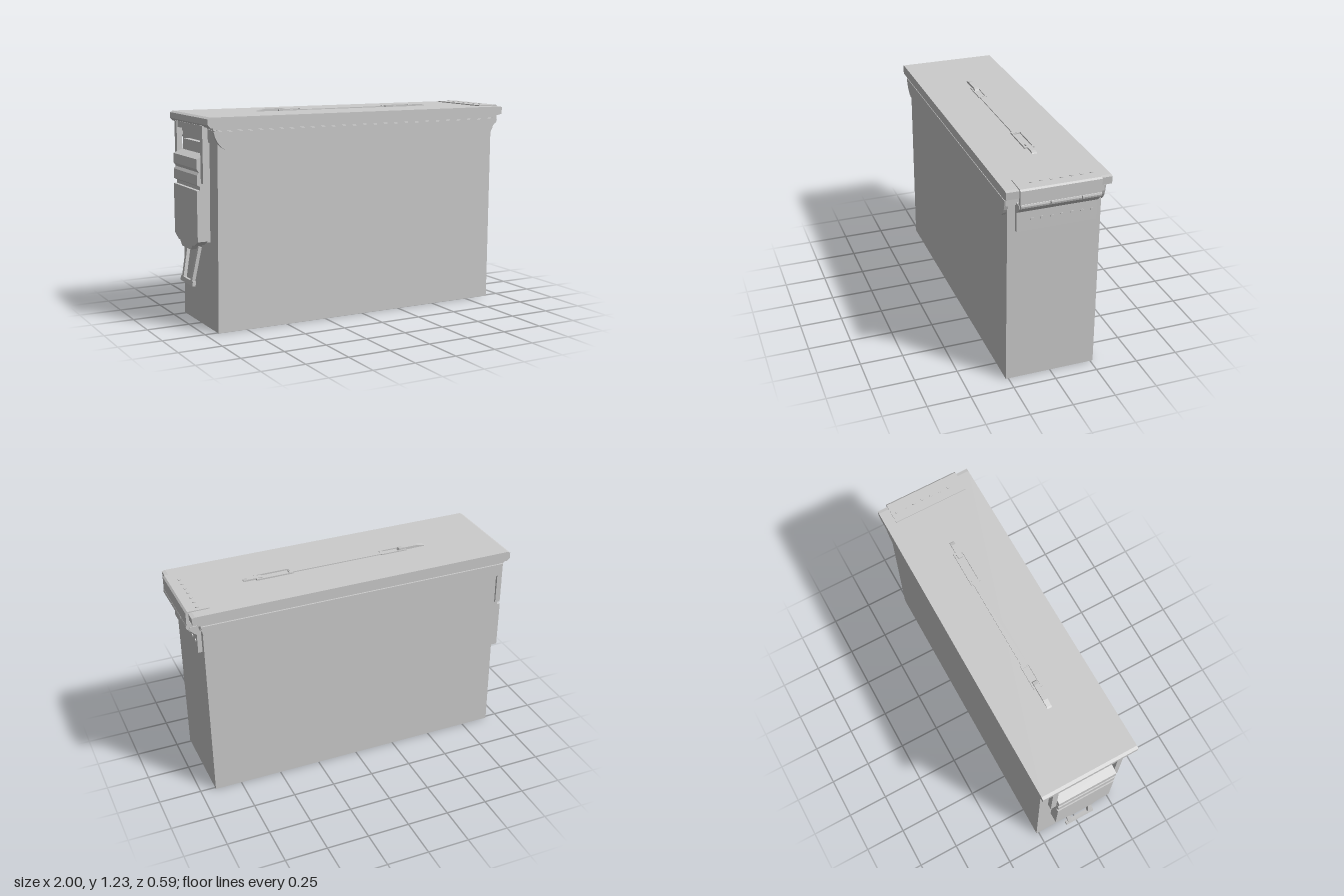
import * as THREE from 'three';

const material = new THREE.MeshStandardMaterial({ color: 0xcccccc, flatShading: true });

export function createModel() {
  const model = new THREE.Group();

  const add = (name, geometry, parent = model) => {
    const mesh = new THREE.Mesh(geometry, material);
    mesh.name = name;
    parent.add(mesh);
    return mesh;
  };
  // Box given by its low and high limits on each axis
  const box = (name, x0, x1, y0, y1, z0, z1, parent) => {
    const m = add(name, new THREE.BoxGeometry(x1 - x0, y1 - y0, z1 - z0), parent);
    m.position.set((x0 + x1) / 2, (y0 + y1) / 2, (z0 + z1) / 2);
    return m;
  };
  // Side profile in x and y, swept from z0 to z1
  const sweep = (name, points, z0, z1, parent) => {
    const shape = points instanceof THREE.Shape
      ? points : new THREE.Shape(points.map(p => new THREE.Vector2(...p)));
    const g = new THREE.ExtrudeGeometry(shape, { depth: z1 - z0, bevelEnabled: false, curveSegments: 6 });
    g.translate(0, 0, z0);
    return add(name, g, parent);
  };
  const group = name => {
    const g = new THREE.Group();
    g.name = name;
    model.add(g);
    return g;
  };

  // Case and its neck
  sweep('body', [[-0.924, 0], [0.91, 0], [0.918, 1.14], [-0.91, 1.14]], -0.265, 0.265);
  box('neck', -0.93, 0.93, 1.1, 1.137, -0.275, 0.275);

  // Raised reinforcing plates along both long sides
  const skirt = new THREE.Shape();
  skirt.moveTo(-0.94, 1.132);
  skirt.quadraticCurveTo(-0.92, 1.04, -0.85, 1.028);
  skirt.lineTo(0.85, 1.015);
  skirt.quadraticCurveTo(0.92, 1.03, 0.93, 1.132);
  sweep('frontSkirt', skirt, 0.262, 0.284);
  sweep('backSkirt', skirt, -0.284, -0.262);

  // Lid with a narrower lower lip
  const lid = group('lid');
  box('lidLip', -0.945, 0.945, 1.142, 1.16, -0.287, 0.287, lid);
  sweep('lidTop', [[-0.96, 1.153], [0.94, 1.153], [0.977, 1.16], [0.98, 1.203],
    [0.96, 1.207], [-0.96, 1.212], [-0.977, 1.203], [-0.977, 1.17]], -0.295, 0.295, lid);

  // Hinge on the left end
  const hinge = group('hinge');
  const h0 = -0.232, h1 = 0.222;
  box('hingeTopLeaf', 0.86, 0.982, 1.2, 1.213, h0, h1, hinge);
  sweep('hingeLidLeaf', [[0.975, 1.14], [0.995, 1.125], [0.995, 1.205], [0.985, 1.213], [0.975, 1.213]], h0, h1, hinge);
  sweep('hingeBodyLeaf', [[0.91, 0.945], [0.942, 0.945], [0.942, 1.06], [0.955, 1.07],
    [0.985, 1.1], [0.975, 1.115], [0.91, 1.115]], h0, h1, hinge);
  const cuts = [h0, -0.12, 0.055, h1];
  for (let i = 0; i < 3; i++) {
    const length = cuts[i + 1] - cuts[i] - 0.006;
    const barrel = add('hingeBarrel', new THREE.CylinderGeometry(0.021, 0.021, length, 12), hinge);
    barrel.rotation.x = Math.PI / 2;
    barrel.position.set(0.978, 1.117, (cuts[i] + cuts[i + 1]) / 2);
  }
  for (let i = 0; i < 7; i++) {
    const z = 0.138 - i * 0.0565;
    const side = add('hingeRivet', new THREE.CylinderGeometry(0.01, 0.01, 0.006, 10), hinge);
    side.rotation.z = Math.PI / 2;
    side.position.set(0.944, 1.01, z);
    const top = add('lidRivet', new THREE.CylinderGeometry(0.01, 0.01, 0.005, 10), hinge);
    top.position.set(0.92, 1.214, z);
  }

  // Clasp on the right end
  const clasp = group('clasp');
  const z0 = -0.195, z1 = 0.17, mid = (z0 + z1) / 2;
  // Pressed lever plate with a tapered lower edge
  const plate = new THREE.Shape([[z0, 0.8], [z0, 0.51], [z0 + 0.06, 0.48], [mid - 0.1, 0.48],
    [mid - 0.07, 0.45], [mid + 0.07, 0.45], [mid + 0.1, 0.48], [z1 - 0.06, 0.48], [z1, 0.51], [z1, 0.8]]
    .map(([z, y]) => new THREE.Vector2(-z, y)));
  const lever = add('claspLever', new THREE.ExtrudeGeometry(plate, { depth: 0.06, bevelEnabled: false }), clasp);
  lever.rotation.y = -Math.PI / 2;
  lever.position.x = -0.94;
  lever.scale.x = -1;
  lever.geometry.scale(-1, 1, 1);
  lever.scale.x = 1;
  // Undo the winding flip caused by mirroring the plate
  const p = lever.geometry.attributes.position;
  for (let i = 0; i < p.count; i += 3) {
    const a = [p.getX(i), p.getY(i), p.getZ(i)];
    p.setXYZ(i, p.getX(i + 1), p.getY(i + 1), p.getZ(i + 1));
    p.setXYZ(i + 1, ...a);
  }
  lever.geometry.computeVertexNormals();

  sweep('claspCatch', [[-0.94, 0.79], [-0.98, 0.79], [-0.98, 0.82], [-0.998, 0.83], [-0.998, 0.885],
    [-0.985, 0.9], [-0.998, 0.92], [-0.998, 0.975], [-0.94, 1.0]], z0, z1, clasp);
  box('claspBase', -0.945, -0.912, 0.5, 1.06, z0 + 0.02, z1 - 0.02, clasp);
  // Wire frame reaching up under the lid
  box('claspArm', -0.975, -0.943, 0.84, 1.16, z0 - 0.035, z0, clasp);
  box('claspArm', -0.975, -0.943, 0.84, 1.16, z1, z1 + 0.035, clasp);
  box('claspCrossbar', -0.97, -0.945, 1.125, 1.16, z0, z1, clasp);
  // Hanging pull loop
  const pull = group('pullLoop');
  pull.position.set(-0.955, 0.455, mid);
  pull.rotation.z = -0.19;
  for (const s of [-1, 1]) {
    const leg = box('pullLeg', -0.01, 0.01, -0.215, 0.01, -0.012, 0.012, pull);
    leg.position.z = s * 0.075;
    leg.rotation.x = s * 0.08;
  }
  box('pullBar', -0.01, 0.01, -0.218, -0.192, -0.095, 0.095, pull);
  box('pullTopBar', -0.01, 0.01, -0.005, 0.018, -0.075, 0.075, pull);

  // Flat carrying handle on the lid
  const handle = group('handle');
  box('handleStrap', -0.28, 0.32, 1.206, 1.215, -0.028, 0.01, handle);
  sweep('handleEnd', [[-0.56, 1.206], [-0.37, 1.206], [-0.38, 1.222], [-0.4, 1.226],
    [-0.5, 1.226], [-0.54, 1.216]], -0.025, 0.003, handle);
  sweep('handleEnd', [[0.48, 1.203], [0.6, 1.203], [0.59, 1.212], [0.57, 1.218], [0.48, 1.218]], -0.025, 0.003, handle);
  for (const [x0, x1, w] of [[-0.42, -0.26, 0.026], [0.3, 0.52, 0.03]]) {
    for (const s of [-1, 1]) {
      const z = -0.01 + s * (w - 0.004);
      box('buckleSide', x0, x1, 1.205, 1.217, z - 0.004, z + 0.004, handle);
    }
    for (const x of [x0, x1 - 0.015]) box('buckleEnd', x, x + 0.015, 1.205, 1.217, -0.01 - w, -0.01 + w, handle);
  }
  return model;
}
